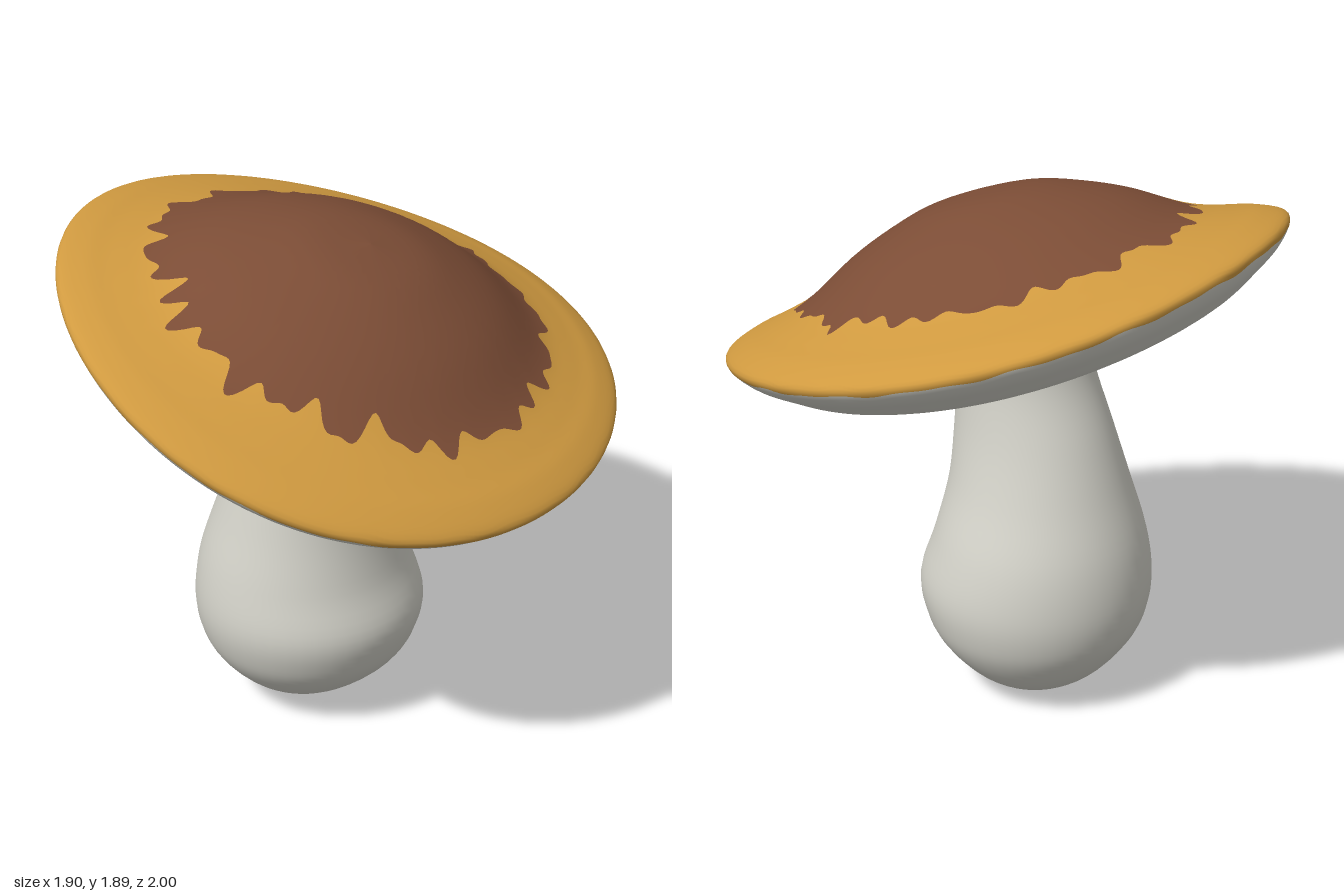
import * as THREE from 'three';

const V = (x, y, z) => new THREE.Vector3(x, y, z);
const spline = (pts) => new THREE.CatmullRomCurve3(pts, false, 'catmullrom', 0.5);

// Closed-around surface: point(row, angle) from top row to bottom row.
// bands = [[rowCount, materialIndex], ...] become geometry groups.
function ringSurface(point, segments, bands) {
  const pos = [], index = [], geo = new THREE.BufferGeometry();
  const rows = bands.reduce((sum, b) => sum + b[0], 0);
  for (let i = 0; i <= rows; i++)
    for (let j = 0; j < segments; j++)
      pos.push(...point(i, (j / segments) * Math.PI * 2).toArray());
  for (let i = 0; i < rows; i++)
    for (let j = 0; j < segments; j++) {
      const k = (j + 1) % segments;
      const a = i * segments + j, b = i * segments + k;
      const c = a + segments, d = b + segments;
      index.push(a, b, c, b, d, c);
    }
  geo.setAttribute('position', new THREE.Float32BufferAttribute(pos, 3));
  geo.setIndex(index);
  let start = 0;
  for (const [count, material] of bands) {
    geo.addGroup(start, count * segments * 6, material);
    start += count * segments * 6;
  }
  geo.computeVertexNormals();
  return geo;
}

function material(name, color) {
  const m = new THREE.MeshStandardMaterial({ color });
  m.name = name;
  return m;
}

export function createModel() {
  const group = new THREE.Group();
  group.name = 'mushroom';
  const brown = material('brown crown', 0x7c4d36);
  const ochre = material('ochre rim', 0xd09a40);
  const pale = material('pale flesh', 0xd2d1c8);

  // Cap profile (radius, height): crown, rim edge, rounded lip, shallow hollow underside
  const profile = [
    [0, 0.38], [0.19, 0.362], [0.34, 0.315], [0.5, 0.242], [0.68, 0.13],
    [0.82, 0.078], [0.92, 0.047], [1, 0], [0.965, -0.06], [0.89, -0.11],
    [0.8, -0.16], [0.7, -0.178], [0.6, -0.16], [0.47, -0.11], [0.34, -0.085], [0.15, -0.08],
  ];
  const capCurve = spline(profile.map(([r, y]) => V(r, y, 0)));
  const last = profile.length - 1;

  // Ragged borders between the colours, as positions along the profile
  const crownEdge = (a) => {
    const teeth = 0.15 * Math.sin(27 * a + 2.5 * Math.sin(3 * a)) + 0.1 * Math.sin(13 * a + 1)
      + 0.08 * Math.sin(41 * a + 2) + 0.06 * Math.sin(5 * a);
    const spike = 0.5 * Math.exp(-(((a - 4.78) / 0.035) ** 2));
    return 4.14 + 0.1 * Math.cos(2 * a) - 0.1 * Math.sin(a) + teeth * (1 + 0.35 * Math.sin(a)) + spike;
  };
  const rimEdge = (a) => 7.42 + 0.05 * Math.sin(19 * a) + 0.04 * Math.sin(33 * a + 1);

  const crownRows = 16, rimRows = 16, underRows = 28;
  const capPoint = (i, a) => {
    const c = crownEdge(a), e = rimEdge(a);
    let s;
    if (i <= crownRows) s = (c * i) / crownRows;
    else if (i <= crownRows + rimRows) s = c + ((e - c) * (i - crownRows)) / rimRows;
    else s = e + ((last - e) * (i - crownRows - rimRows)) / underRows;
    const p = capCurve.getPoint(Math.min(1, s / last));
    const x = p.x * Math.cos(a), z = p.x * Math.sin(a);
    // Slight saddle warp: front left and back right corners droop
    return V(x, p.y - 0.11 * x * z - 0.02 * z * z, z);
  };
  const cap = new THREE.Mesh(
    ringSurface(capPoint, 360, [[crownRows, 0], [rimRows, 1], [underRows, 2]]),
    [brown, ochre, pale]);
  cap.name = 'cap';
  cap.position.set(0, 1.475, 0);
  cap.rotation.set(-0.02, 0, -0.332);
  group.add(cap);

  // Stem sections from top to bottom: y, min x, max x, min z, max z
  const sections = [
    [1.5, -0.03, -0.03, 0.05, 0.05], [1.49, -0.26, 0.2, -0.2, 0.3],
    [1.35, -0.245, 0.19, -0.19, 0.295], [1.2, -0.275, 0.21, -0.19, 0.3],
    [1.0, -0.36, 0.218, -0.22, 0.33], [0.8, -0.435, 0.218, -0.275, 0.37],
    [0.6, -0.505, 0.252, -0.35, 0.42], [0.43, -0.53, 0.306, -0.39, 0.448],
    [0.3, -0.515, 0.28, -0.378, 0.425], [0.2, -0.468, 0.22, -0.335, 0.37],
    [0.1, -0.385, 0.11, -0.25, 0.27], [0.035, -0.29, 0, -0.15, 0.165],
    [0.006, -0.21, -0.09, -0.06, 0.08], [0, -0.15, -0.15, 0.01, 0.01],
  ];
  const low = spline(sections.map(([y, x0, , z0]) => V(x0, y, z0)));
  const high = spline(sections.map(([y, , x1, , z1]) => V(x1, y, z1)));
  const stemRows = 65;
  const stemPoint = (i, a) => {
    const p = low.getPoint(i / stemRows), q = high.getPoint(i / stemRows);
    return V(
      (p.x + q.x) / 2 + ((q.x - p.x) / 2) * Math.cos(a),
      Math.max(0, p.y),
      (p.z + q.z) / 2 + ((q.z - p.z) / 2) * Math.sin(a));
  };
  const stem = new THREE.Mesh(ringSurface(stemPoint, 48, [[stemRows, 0]]), [pale]);
  stem.name = 'stem';
  group.add(stem);

  return group;
}
